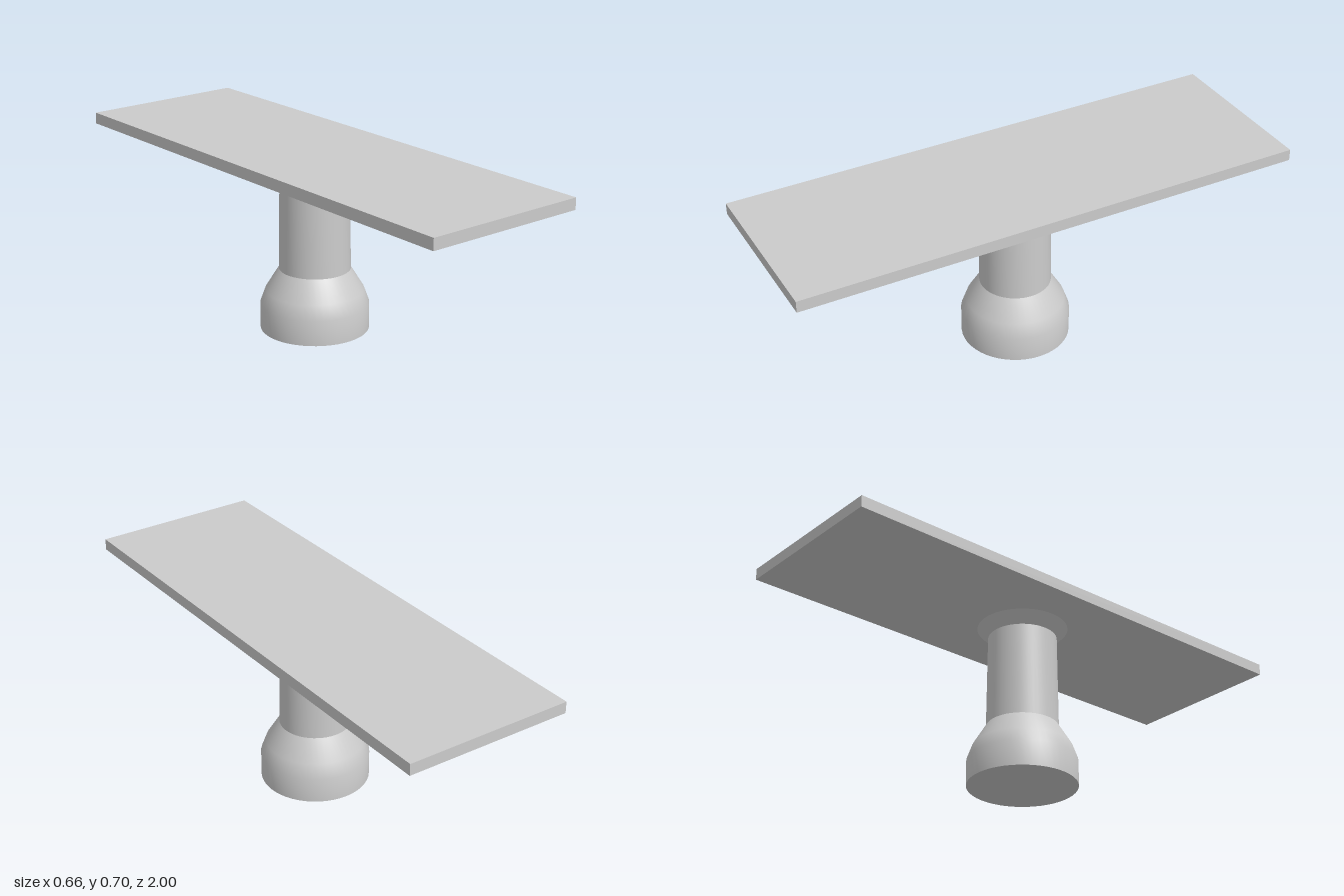
import * as THREE from 'three';
import { toCreasedNormals } from 'three/addons/utils/BufferGeometryUtils.js';

export function createModel() {
  const model = new THREE.Group();
  model.name = 'pedestalTable';
  const material = new THREE.MeshStandardMaterial({ color: 0xcccccc });

  // Turned pedestal: drum foot, tapering shoulder, column and flared collar
  const profile = [
    [0, 0], [0.21, 0], [0.21, 0.1], [0.19, 0.155],
    [0.138, 0.24], [0.133, 0.612], [0.176, 0.656], [0, 0.656],
  ].map(([r, y]) => new THREE.Vector2(r, y));
  const pedestal = new THREE.Mesh(
    toCreasedNormals(new THREE.LatheGeometry(profile, 48), 0.5), material);
  pedestal.name = 'pedestal';
  model.add(pedestal);

  // Long rectangular top
  const top = new THREE.Mesh(new THREE.BoxGeometry(0.664, 0.045, 2), material);
  top.name = 'tableTop';
  top.position.y = 0.6775;
  model.add(top);

  return model;
}
